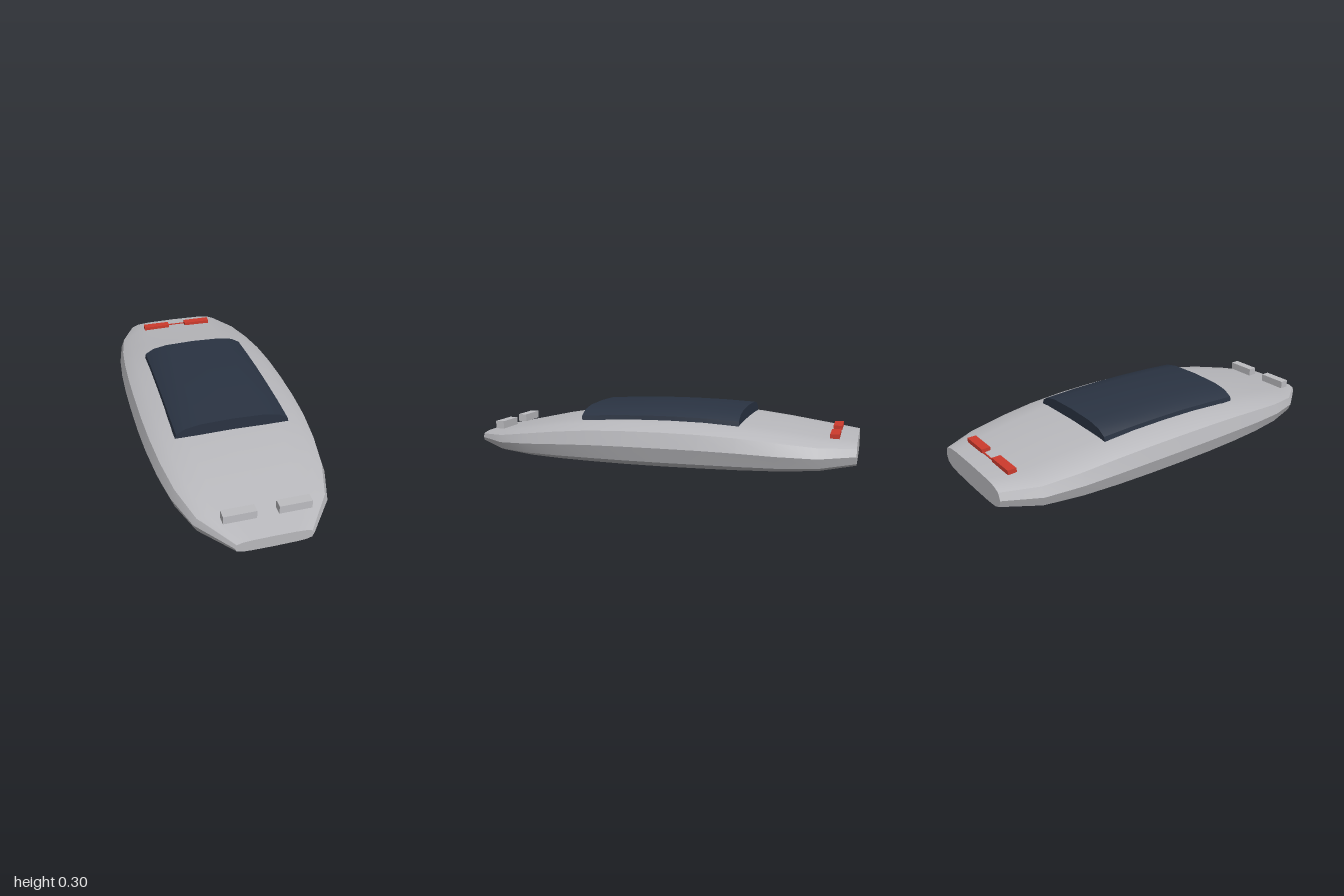
import * as THREE from 'three';
import { toCreasedNormals } from 'three/addons/utils/BufferGeometryUtils.js';

const paint = (name, color) => Object.assign(new THREE.MeshStandardMaterial({ color }), { name });

// Skin a list of equal rings (counter-clockwise from the front, ordered front to back), with end caps
function loft(rings, crease) {
  const n = rings[0].length, last = (rings.length - 1) * n, index = [];
  for (let i = 0; i < rings.length - 1; i++) {
    for (let j = 0; j < n; j++) {
      const k = (j + 1) % n, a = i * n + j, b = i * n + k;
      index.push(a, a + n, b, b, a + n, b + n);
    }
  }
  for (let j = 1; j < n - 1; j++) index.push(0, j, j + 1, last, last + j + 1, last + j);
  const geometry = new THREE.BufferGeometry();
  geometry.setAttribute('position', new THREE.Float32BufferAttribute(rings.flat(2), 3));
  geometry.setIndex(index);
  return toCreasedNormals(geometry, crease);
}

// Rounded-oval hull section: quarter profile mirrored into sixteen points
const QX = [1, 0.95, 0.81, 0.555, 0], QY = [0, 0.6, 0.86, 0.96, 1];
function hullRing([z, halfWidth, bottom, top]) {
  const mid = (top + bottom) / 2, h = (top - bottom) / 2;
  return Array.from({ length: 16 }, (_, j) => {
    const q = j % 8, k = q <= 4 ? q : 8 - q;
    const sx = j > 4 && j < 12 ? -1 : 1, sy = j > 8 ? -1 : 1;
    return [sx * QX[k] * halfWidth, mid + sy * QY[k] * h, z];
  });
}

// Canopy section: flat base inside the hull, arched top
function canopyRing([z, halfWidth, top]) {
  const arch = [[1, -0.045], [0.84, -0.019], [0.57, -0.005], [0, 0]];
  const right = arch.map(([x, y]) => [x * halfWidth * 0.98, top + y, z]);
  const left = right.slice(0, 3).reverse().map(([x, y]) => [-x, y, z]);
  return [[halfWidth, 0.223, z], ...right, ...left, [-halfWidth, 0.223, z]];
}

export function createModel() {
  const model = new THREE.Group();
  const silver = paint('silver body', 0xb8b8bc);
  const glass = paint('dark glass', 0x2a3342);
  const lampGrey = paint('pale lamp', 0xbcbcc0);
  const red = paint('red lamp', 0xcc3a2c);

  const add = (name, geometry, material, x = 0, y = 0, z = 0) => {
    const mesh = new THREE.Mesh(geometry, material);
    mesh.name = name;
    mesh.position.set(x, y, z);
    model.add(mesh);
  };

  // Hull stations: z, half width, bottom, top
  const stations = [
    [1, 0.18, 0.05, 0.11], [0.82, 0.317, 0.026, 0.145], [0.64, 0.377, 0.015, 0.183],
    [0.46, 0.408, 0.01, 0.214], [0.28, 0.425, 0.007, 0.236], [0.1, 0.432, 0.005, 0.246],
    [-0.1, 0.433, 0.005, 0.249], [-0.28, 0.43, 0.007, 0.246], [-0.46, 0.421, 0.01, 0.235],
    [-0.64, 0.403, 0.015, 0.213], [-0.83, 0.367, 0.026, 0.187], [-1, 0.28, 0.05, 0.17],
  ];
  add('hull', loft(stations.map(hullRing), 0.5), silver);

  // Canopy stations: z, half width, top
  const roof = [
    [0.36, 0.29, 0.289], [0.2, 0.29, 0.298], [0.03, 0.288, 0.304],
    [-0.13, 0.287, 0.305], [-0.29, 0.285, 0.302], [-0.45, 0.283, 0.295],
  ];
  add('canopy', loft(roof.map(canopyRing), 0.5), glass);

  // Lamps, mirrored left and right
  for (const [side, s] of [['left', 1], ['right', -1]]) {
    add(side + 'Headlight', new THREE.BoxGeometry(0.154, 0.04, 0.046), lampGrey, s * 0.128, 0.158, 0.881);
    add(side + 'TailLight', new THREE.BoxGeometry(0.154, 0.022, 0.044), red, s * 0.128, 0.187, -0.895);
  }
  add('tailLightBar', new THREE.BoxGeometry(0.11, 0.008, 0.006), red, 0, 0.18, -0.91);

  return model;
}
